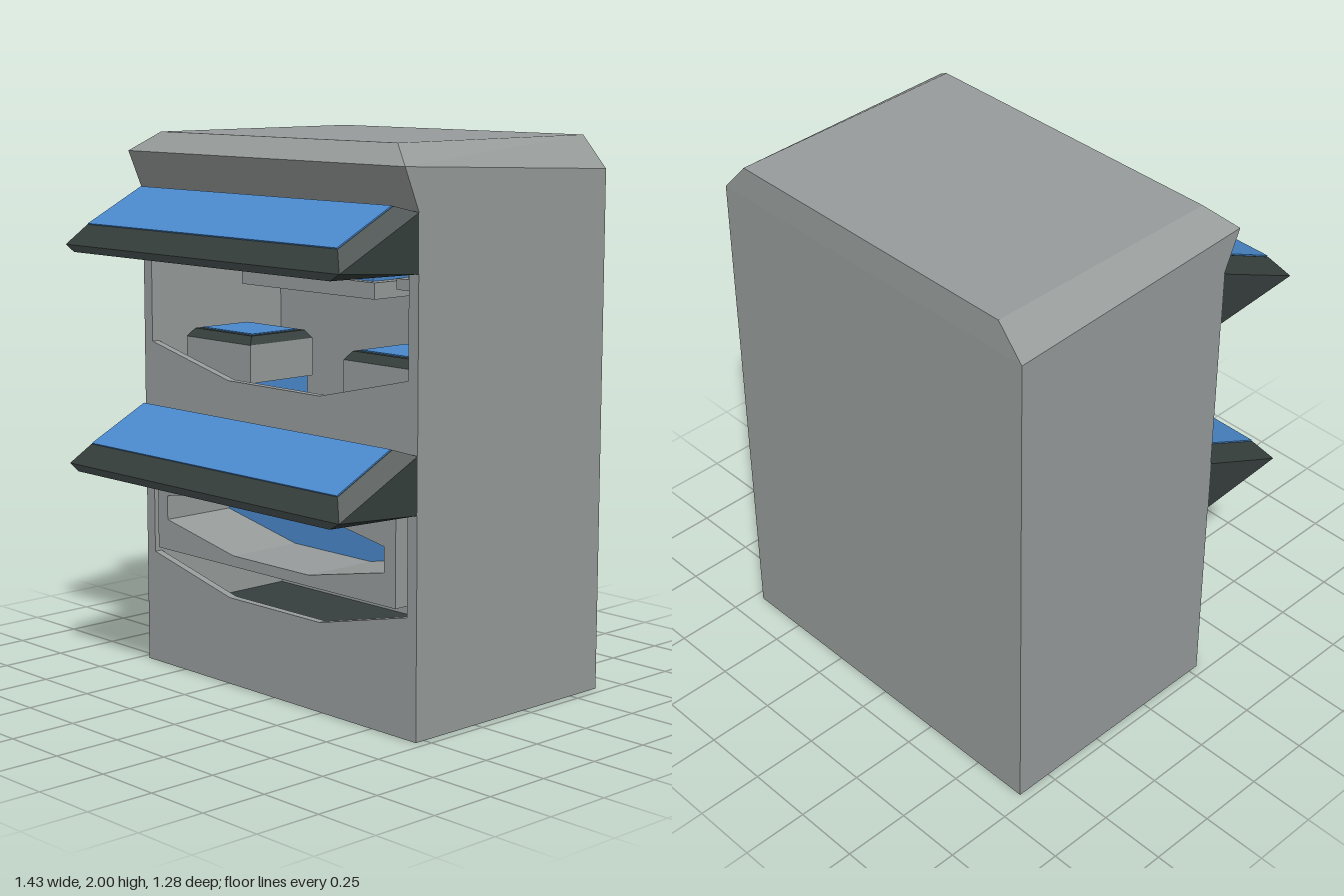
import * as THREE from 'three';
import { ConvexGeometry } from 'three/addons/geometries/ConvexGeometry.js';

const paint = (name, color) => Object.assign(new THREE.MeshStandardMaterial({ color }), { name });

export function createModel() {
  const grey = paint('grey casing', 0x979c9b);
  const dark = paint('dark trim', 0x363f3d);
  const blue = paint('blue glass', 0x4a88cc);
  const root = new THREE.Group();
  root.name = 'stall';

  const add = (name, geo, mat, parent = root) => {
    const mesh = new THREE.Mesh(geo, mat);
    mesh.name = name;
    parent.add(mesh);
    return mesh;
  };
  // box given by its limits on each axis
  const box = (name, mat, x0, x1, y0, y1, z0, z1, parent) =>
    add(name, new THREE.BoxGeometry(x1 - x0, y1 - y0, z1 - z0), mat, parent)
      .position.set((x0 + x1) / 2, (y0 + y1) / 2, (z0 + z1) / 2);
  // convex solid from [x, y, z] points mirrored in x
  const hull = (name, mat, pts, parent) =>
    add(name, new ConvexGeometry(pts.flatMap(([x, y, z]) =>
      [new THREE.Vector3(x, y, z), new THREE.Vector3(-x, y, z)])), mat, parent);
  const outline = (pts) => pts.map(([x, y]) => new THREE.Vector2(x, y));
  const extrude = (shape, depth, z0) =>
    new THREE.ExtrudeGeometry(shape, { depth, bevelEnabled: false }).translate(0, 0, z0);

  // casing: pierced front, walls, and solid back
  const W = 0.715, F = 0.29, B = -0.64;
  const front = new THREE.Shape(outline([[-W, 0], [W, 0], [W, 1.78], [-W, 1.78]]));
  for (const [low, top] of [[0.325, 0.82], [1.125, 1.72]]) {
    front.holes.push(new THREE.Path(outline([
      [-0.67, top], [-0.67, low + 0.1], [-0.24, low], [0.24, low], [0.67, low + 0.1], [0.67, top]])));
  }
  add('frontWall', extrude(front, 0.03, F - 0.03), grey);
  for (const s of [-1, 1]) {
    const x = s * 0.6925;
    box('sideWall', grey, x - 0.0225, x + 0.0225, 0, 1.78, B, F - 0.03);
  }
  box('backBlock', grey, -0.67, 0.67, 0, 1.78, B, -0.35);
  box('base', grey, -0.67, 0.67, 0, 0.19, -0.35, F - 0.03);
  box('lowerFloor', dark, -0.67, 0.67, 0.19, 0.2, -0.35, F - 0.03);
  box('upperFloor', dark, -0.67, 0.67, 0.84, 0.88, -0.35, F - 0.03);

  // overhanging roof with bevelled edges
  hull('roof', grey, [
    [W, 1.78, F], [W, 1.78, B], [W, 1.93, 0.355], [W, 1.885, B],
    [0.61, 2, 0.285], [0.61, 2, -0.637]]);

  // two awnings with glass tops
  for (const y of [0.78, 1.58]) {
    const awning = new THREE.Group();
    awning.name = 'awning';
    awning.position.y = y;
    root.add(awning);
    hull('awningFrame', dark, [
      [0.655, 0.095, 0.595], [0.655, 0.22, 0.345],
      [W, 0.025, 0.645], [W, 0.2, F],
      [0.67, 0, 0.643], [W, 0, F]], awning);
    const slope = Math.atan2(0.125, 0.25);
    const glass = add('awningGlass', new THREE.BoxGeometry(1.3, 0.006, 0.272), blue, awning);
    glass.position.set(0, 0.159, 0.471);
    glass.rotation.x = slope;
  }

  // lower display panel with a deep window
  const panel = new THREE.Shape(outline([[-0.63, 0.45], [0.63, 0.45], [0.63, 0.76], [-0.63, 0.76]]));
  panel.holes.push(new THREE.Path(outline([
    [-0.575, 0.565], [-0.575, 0.655], [-0.2, 0.72], [0.2, 0.72],
    [0.575, 0.655], [0.575, 0.565], [0.2, 0.49], [-0.2, 0.49]])));
  add('displayPanel', extrude(panel, 0.3, 0.005), grey);
  box('displayGlass', blue, -0.62, 0.62, 0.46, 0.75, -0.003, 0.005);

  // counters inside the upper opening
  for (const x of [-0.43, 0.42]) {
    const counter = new THREE.Group();
    counter.name = 'counter';
    counter.position.x = x;
    root.add(counter);
    box('counterTop', grey, -0.18, 0.18, 1.1, 1.24, -0.13, 0.175, counter);
    box('counterGlass', blue, -0.165, 0.165, 1.0, 1.1, -0.12, 0.165, counter);
    box('counterBase', grey, -0.18, 0.18, 0.88, 1.0, -0.18, 0.175, counter);
    hull('counterRim', dark, [
      [0.18, 1.24, 0.175], [0.18, 1.24, -0.13], [0.16, 1.27, 0.15], [0.16, 1.27, -0.11]], counter);
    box('counterScreen', blue, -0.14, 0.14, 1.268, 1.274, -0.09, 0.13, counter);
  }

  // wall cabinets: glass band between two grey shelves
  for (const [x0, x1, low, mid, g0, g1] of [
    [-0.61, 0.11, 1.415, 1.475, -0.57, 0.07], [0.22, 0.67, 1.46, 1.5, 0.25, 0.64]]) {
    box('cabinetBottom', grey, x0, x1, low, mid, -0.35, -0.1);
    box('cabinetGlass', blue, g0, g1, mid, 1.54, -0.35, -0.13);
    box('cabinetTop', grey, x0, x1, 1.54, 1.62, -0.35, -0.1);
  }
  return root;
}
